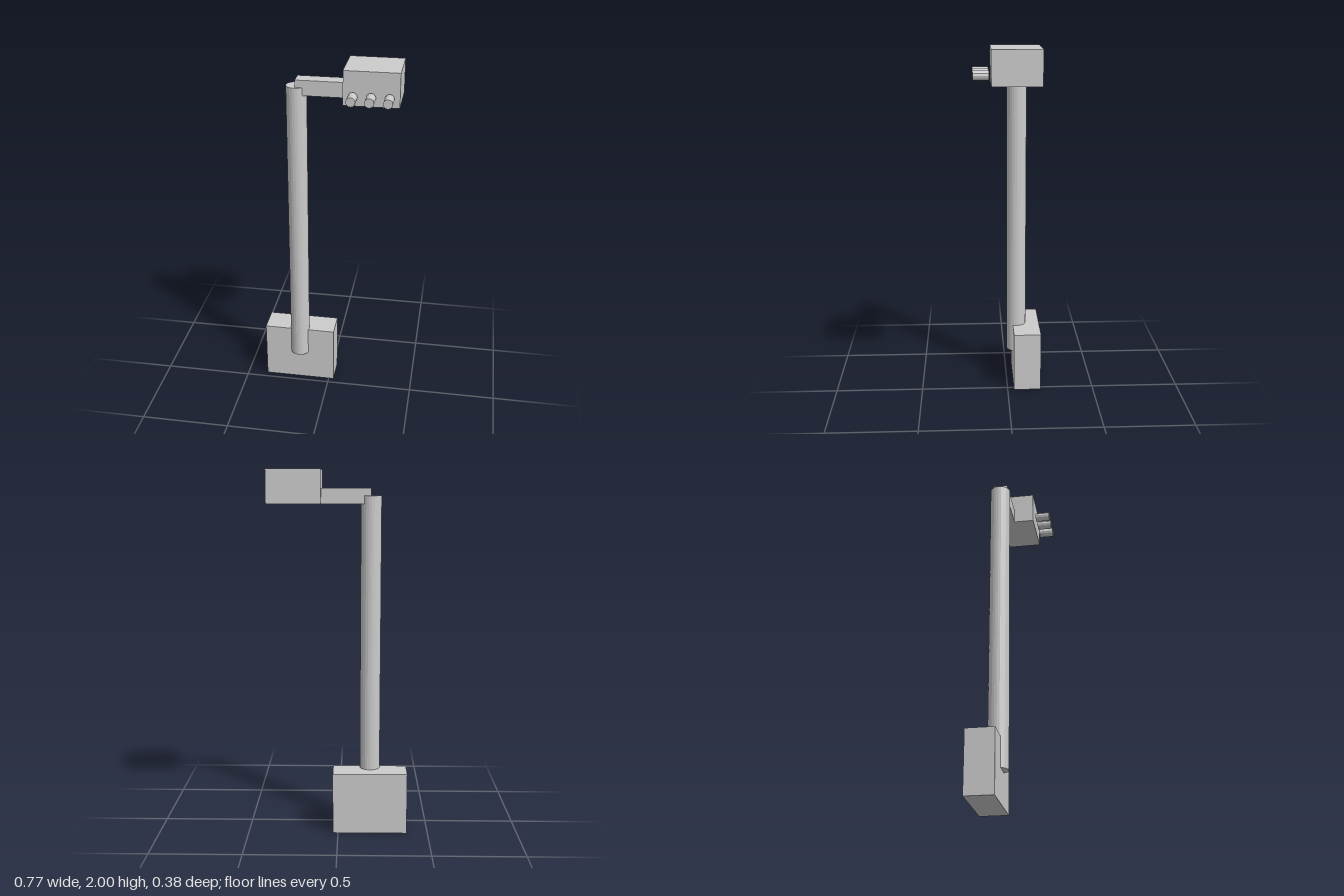
import * as THREE from 'three';

export function createModel() {
  const model = new THREE.Group();
  const material = new THREE.MeshStandardMaterial({ color: 0xcccccc, flatShading: true });

  const add = (name, geometry, x, y, z) => {
    const mesh = new THREE.Mesh(geometry, material);
    mesh.name = name;
    mesh.position.set(x, y, z);
    model.add(mesh);
    return mesh;
  };

  // Box given by its extents along each axis
  const block = (name, [x0, x1], [y0, y1], [z0, z1]) =>
    add(name, new THREE.BoxGeometry(x1 - x0, y1 - y0, z1 - z0),
      (x0 + x1) / 2, (y0 + y1) / 2, (z0 + z1) / 2);

  // Base block and the post sunk into its front
  block('base', [-0.383, 0.029], [0, 0.343], [-0.193, -0.037]);
  add('post', new THREE.CylinderGeometry(0.056, 0.056, 1.68, 24), -0.177, 1.02, -0.058);

  // Arm reaching sideways to the head
  block('arm', [-0.177, 0.092], [1.817, 1.9], [-0.099, -0.017]);
  block('head', [0.092, 0.383], [1.817, 2], [-0.162, 0.097]);

  // Row of three knobs standing just off the head's front
  const knobGeometry = new THREE.CylinderGeometry(0.025, 0.025, 0.082, 12).rotateX(Math.PI / 2);
  for (let i = 0; i < 3; i++) {
    add(`knob${i + 1}`, knobGeometry, 0.144 + i * 0.0935, 1.868, 0.149);
  }

  return model;
}
